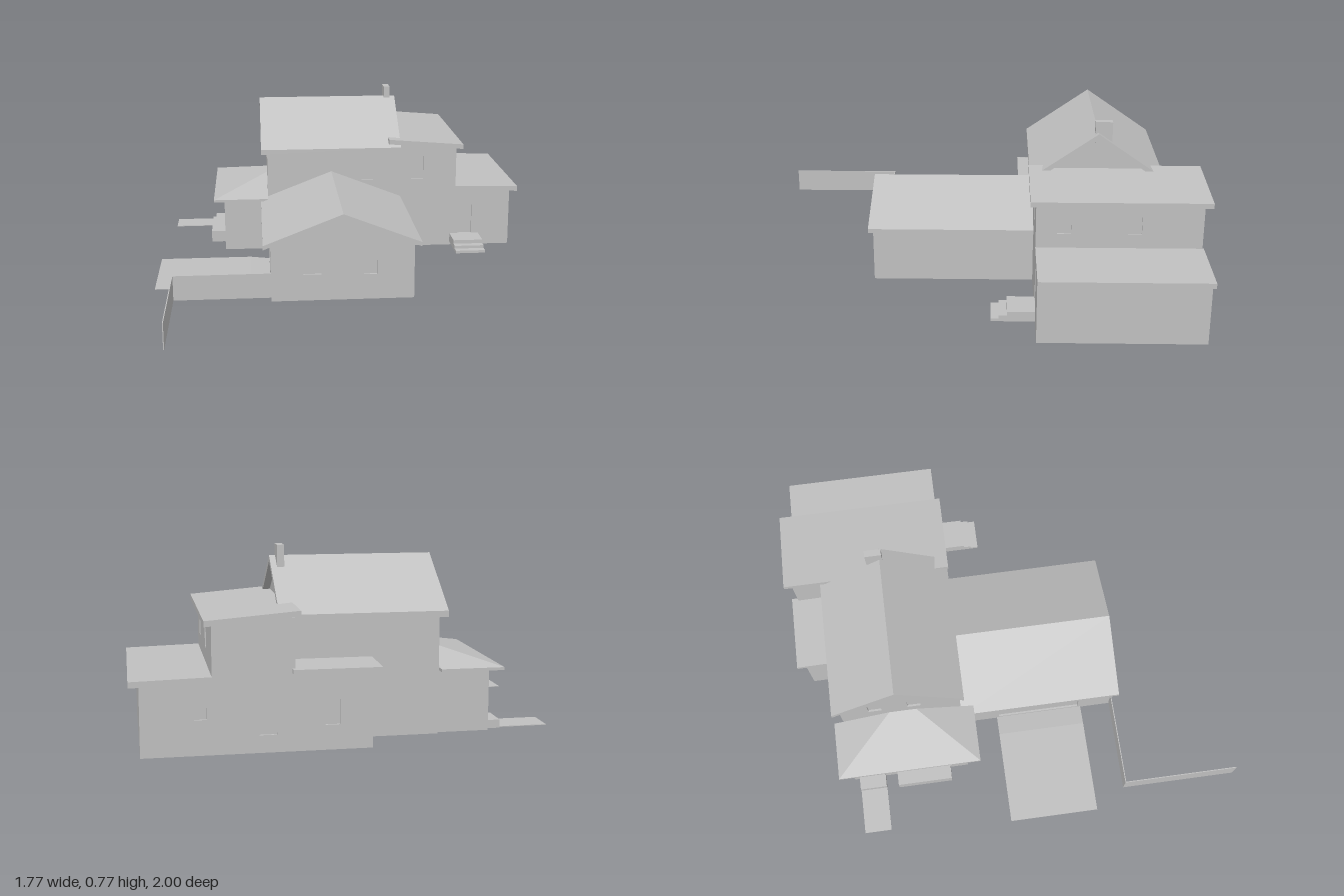
import * as THREE from 'three';

const T = 0.012; // wall thickness

export function createModel() {
  const model = new THREE.Group();
  model.name = 'house';
  const plaster = new THREE.MeshStandardMaterial({ color: 0xc0c0c0, side: THREE.DoubleSide });
  plaster.name = 'plain grey';

  const add = (name, geometry, parent = model) => {
    const mesh = new THREE.Mesh(geometry, plaster);
    mesh.name = name;
    parent.add(mesh);
    return mesh;
  };
  const box = (name, x0, x1, y0, y1, z0, z1) =>
    add(name, new THREE.BoxGeometry(x1 - x0, y1 - y0, z1 - z0)
      .translate((x0 + x1) / 2, (y0 + y1) / 2, (z0 + z1) / 2));
  const outline = (pts) => new THREE.Shape(pts.map(([u, v]) => new THREE.Vector2(u, v)));
  const extrude = (shape, depth) =>
    new THREE.ExtrudeGeometry(shape, { depth, bevelEnabled: false });

  // Prism along z from z0 to z1 with an (x, y) section
  const prismZ = (name, pts, z0, z1) =>
    add(name, extrude(outline(pts), z1 - z0).translate(0, 0, z0));
  // Prism along x from x0 to x1 with a (-z, y) section
  const prismX = (name, pts, x0, x1) =>
    add(name, extrude(outline(pts), x1 - x0).rotateY(Math.PI / 2).translate(x0, 0, 0));

  // Wall with recessed openings [u0, u1, v0, v1]; u is x, or -z on the side walls
  const wall = (name, side, at, pts, openings = []) => {
    const group = new THREE.Group();
    group.name = name;
    const shape = outline(pts);
    const outward = side === 'front' || side === 'right';
    for (const [a, b, c, d] of openings) {
      shape.holes.push(new THREE.Path([[a, c], [a, d], [b, d], [b, c]].map((p) => new THREE.Vector2(...p))));
      const pane = new THREE.BoxGeometry(b - a, d - c, 0.003);
      add('pane', pane.translate((a + b) / 2, (c + d) / 2, outward ? 0.0015 : T - 0.0015), group);
    }
    add('wallPanel', extrude(shape, T), group);
    const start = outward ? at - T : at;
    if (side === 'front' || side === 'back') group.position.z = start;
    else {
      group.rotation.y = Math.PI / 2;
      group.position.x = start;
    }
    model.add(group);
  };
  const rect = (a, b, c, d) => [[a, c], [b, c], [b, d], [a, d]];

  // Garage
  wall('garageFrontWall', 'front', 0.47,
    [[-0.37, 0], [0.26, 0], [0.26, 0.25], [-0.055, 0.375], [-0.37, 0.25]],
    [[0.035, 0.095, 0.115, 0.205], [-0.23, -0.15, 0.12, 0.15]]);
  wall('garageLeftWall', 'left', -0.37, rect(-0.47, 0.26, 0, 0.255), [[-0.31, 0.08, 0.02, 0.2]]);
  wall('garageRightWall', 'right', 0.26, rect(-0.47, 0.26, 0, 0.255));
  prismZ('garageRoof', [[-0.405, 0.243], [-0.055, 0.377], [0.29, 0.243], [0.29, 0.262],
    [-0.055, 0.397], [-0.405, 0.262]], -0.26, 0.49);

  // Main two-storey block
  wall('houseFrontWall', 'front', -0.26, rect(-0.37, 0.26, 0, 0.505), [[0.093, 0.153, 0.35, 0.465]]);
  wall('houseBackWall', 'back', -0.81, rect(-0.37, 0.26, 0, 0.505));
  wall('houseLeftGable', 'left', -0.37,
    [[0.26, 0], [0.81, 0], [0.81, 0.505], [0.538, 0.69], [0.26, 0.505]],
    [[0.44, 0.5, 0.4, 0.48], [0.62, 0.68, 0.4, 0.48]]);
  wall('houseRightGable', 'right', 0.26,
    [[0.26, 0.4], [0.81, 0.3], [0.97, 0.3], [0.97, 0.525], [0.81, 0.505], [0.538, 0.69], [0.26, 0.505]]);
  prismX('mainRoof', [[0.24, 0.49], [0.538, 0.697], [0.837, 0.49], [0.837, 0.515],
    [0.538, 0.722], [0.24, 0.515]], -0.4, 0.29);
  box('chimney', 0.235, 0.265, 0.66, 0.77, -0.6, -0.525);

  // Right wing, tall part with a low part beside it
  wall('wingFrontWall', 'front', -0.26,
    [[0.26, 0], [0.845, 0], [0.845, 0.285], [0.57, 0.285], [0.57, 0.51], [0.26, 0.53]],
    [[0.345, 0.405, 0.35, 0.465], [0.585, 0.655, 0.06, 0.22]]);
  wall('wingUpperRightWall', 'right', 0.57, rect(0.26, 0.97, 0.27, 0.51),
    [[0.35, 0.41, 0.37, 0.45], [0.65, 0.71, 0.37, 0.45]]);
  wall('wingLowerRightWall', 'right', 0.845, rect(0.26, 0.97, 0, 0.285));
  wall('wingBackWall', 'back', -0.97,
    [[-0.06, 0], [0.845, 0], [0.845, 0.285], [0.57, 0.285], [0.57, 0.51], [0.26, 0.53],
      [0.26, 0.315], [-0.06, 0.315]],
    [[0.32, 0.39, 0.07, 0.18], [0.07, 0.13, 0.1, 0.2], [0.59, 0.64, 0.14, 0.22]]);
  prismZ('wingUpperRoof', [[0.23, 0.533], [0.6, 0.503], [0.6, 0.526], [0.23, 0.556]], -1, -0.235);
  prismZ('wingLowerRoof', [[0.565, 0.283], [0.885, 0.275], [0.885, 0.299], [0.565, 0.307]], -0.976, -0.259);

  // Rear bump-out
  wall('bumpSideWall', 'left', -0.06, rect(0.81, 0.97, 0, 0.315));
  prismX('bumpRoof', [[0.81, 0.315], [1, 0.31], [1, 0.328], [0.81, 0.333]], -0.09, 0.26);

  // Left annex with a hipped roof against the gable
  wall('annexBackWall', 'back', -0.81, rect(-0.585, -0.37, 0.005, 0.268));
  wall('annexFrontWall', 'front', -0.26, rect(-0.585, -0.37, 0.005, 0.268));
  wall('annexLeftWall', 'left', -0.585, rect(0.26, 0.81, 0.005, 0.268),
    [[0.69, 0.76, 0.045, 0.21], [0.38, 0.57, 0.075, 0.21]]);
  const a = [-0.635, 0.278, -0.2], b = [-0.37, 0.278, -0.2], c = [-0.37, 0.35, -0.465];
  const d = [-0.37, 0.35, -0.59], e = [-0.37, 0.278, -0.855], f = [-0.635, 0.278, -0.855];
  const hip = new THREE.BufferGeometry();
  const faces = [[a, b, c], [a, c, d], [a, d, f], [f, d, e]];
  hip.setAttribute('position', new THREE.Float32BufferAttribute(faces.flat(2), 3));
  hip.computeVertexNormals();
  add('annexHipRoof', hip);
  box('annexEaves', -0.635, -0.37, 0.266, 0.278, -0.855, -0.2);

  // Annex steps and path
  box('annexDoorStep', -0.645, -0.585, 0.005, 0.04, -0.785, -0.66);
  box('annexWideStep', -0.655, -0.585, 0.02, 0.075, -0.6, -0.345);
  box('annexPath', -0.85, -0.645, 0.008, 0.011, -0.785, -0.66);

  // Front door steps
  [[-0.14, 0.06], [-0.105, 0.042], [-0.07, 0.028]].forEach(([z, y], i) =>
    box('frontStep' + (i + 1), 0.545, 0.69, 0.015, y, -0.26, z));

  // Driveway, dipping slightly at the garage
  prismZ('driveway', [[-0.888, 0.017], [-0.46, 0.017], [-0.37, 0.007], [-0.37, 0.01],
    [-0.46, 0.02], [-0.888, 0.02]], -0.09, 0.325);

  // Garden fence
  box('fenceAcross', -0.8, -0.37, 0.018, 0.13, 0.466, 0.47);
  box('fenceAlong', -0.8, -0.796, 0.018, 0.13, 0.466, 1);

  return model;
}
